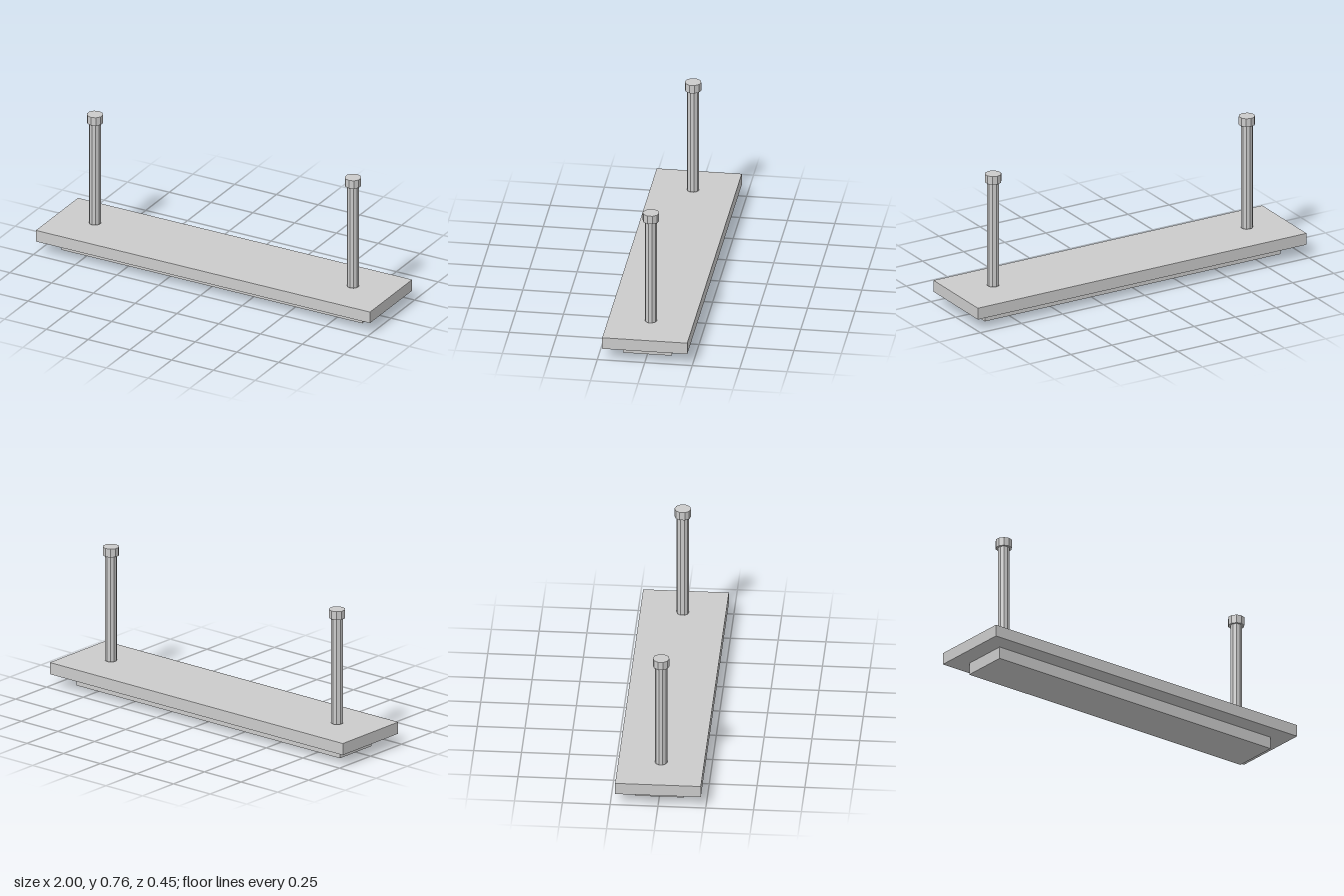
import * as THREE from 'three';

export function createModel() {
  const group = new THREE.Group();
  const material = new THREE.MeshStandardMaterial({ color: 0xcccccc, flatShading: true });

  const add = (name, geometry, x, y) => {
    const mesh = new THREE.Mesh(geometry, material);
    mesh.name = name;
    mesh.position.set(x, y, 0);
    group.add(mesh);
  };

  // Narrow plinth under a wide deck
  add('plinth', new THREE.BoxGeometry(1.8, 0.065, 0.256), 0, 0.0325);
  add('deck', new THREE.BoxGeometry(2, 0.064, 0.448), 0, 0.097);

  // Mirrored posts, floating a hair above the deck, with wider caps
  for (const [side, s] of [['left', 1], ['right', -1]]) {
    add(side + 'Post', new THREE.CylinderGeometry(0.032, 0.032, 0.581, 10), s * 0.772, 0.4245);
    add(side + 'PostCap', new THREE.CylinderGeometry(0.0435, 0.0435, 0.046, 10), s * 0.772, 0.738);
  }
  return group;
}
